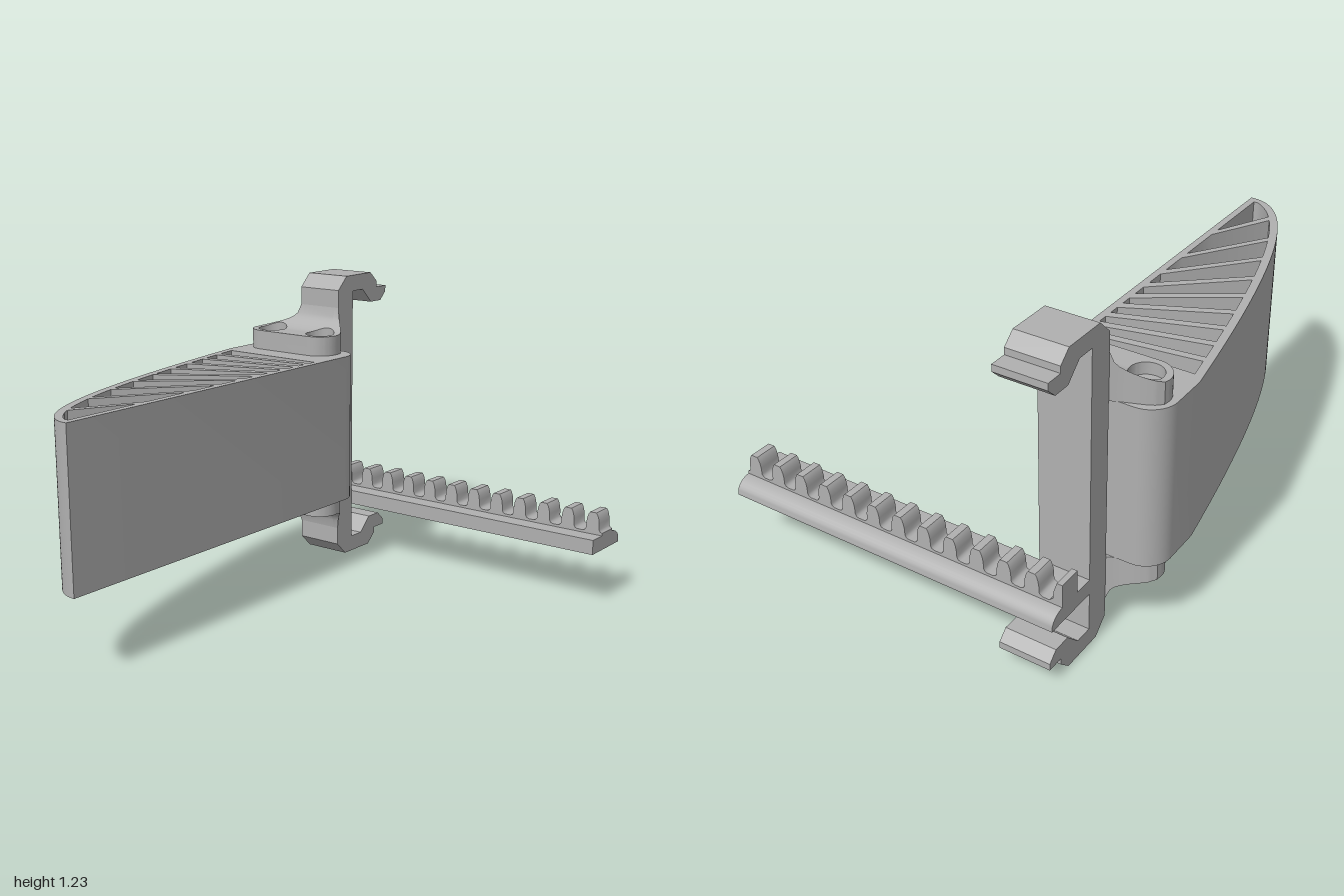
import * as THREE from 'three';
import { toCreasedNormals } from 'three/addons/utils/BufferGeometryUtils.js';

const grey = new THREE.MeshStandardMaterial({ color: 0xb0b0b0 });
grey.name = 'plain grey';

const MID = 0.617;                        // height of the mirror plane of vane and bracket
const HOLE_Z = -0.555, HOLES = [-0.675, -0.42];
const VANE_HALF = 0.308, PAD_FLOOR = 0.343, PAD_TOP = 0.388;

const V = (x, y) => new THREE.Vector2(x, y);
const plan = pts => pts.map(([x, z]) => V(x, -z));
const extrude = (shape, depth) =>
  new THREE.ExtrudeGeometry(shape, { depth, bevelEnabled: false, curveSegments: 24 });

// Plan shape (x, z) raised from y0 to y1
function raise(shape, y0, y1) {
  return extrude(shape, y1 - y0).rotateX(-Math.PI / 2).translate(0, y0, 0);
}
// Side profile of [z, y] points swept from x0 to x1
function sweepX(pts, x0, x1) {
  const shape = new THREE.Shape(pts.map(([z, y]) => V(-z, y)));
  return extrude(shape, x1 - x0).rotateY(Math.PI / 2).translate(x0, 0, 0);
}
function mesh(name, geo) {
  const m = new THREE.Mesh(toCreasedNormals(geo, 0.6), grey);
  m.name = name;
  return m;
}
// Copy of a geometry turned upside down, with corner order kept right
function flipY(geo) {
  const g = geo.index ? geo.toNonIndexed() : geo.clone();
  g.scale(1, -1, 1);
  const p = g.attributes.position, a = new THREE.Vector3(), b = new THREE.Vector3();
  for (let i = 0; i < p.count; i += 3) {
    a.fromBufferAttribute(p, i + 1);
    b.fromBufferAttribute(p, i + 2);
    p.setXYZ(i + 1, b.x, b.y, b.z);
    p.setXYZ(i + 2, a.x, a.y, a.z);
  }
  return g;
}
function addScrewHoles(shape) {
  for (const x of HOLES) shape.holes.push(new THREE.Path().absarc(x, -HOLE_Z, 0.025, 0, Math.PI * 2, true));
}

// Curved vane: outer edge and parallel inner edge as functions of z
const outerX = z => -0.275 - 0.51 * Math.pow(Math.max(0, 1 - z) / 1.4, 0.45);
function innerX(z) {
  const slope = (outerX(z + 0.001) - outerX(z - 0.001)) / 0.002;
  return Math.min(-0.303, outerX(z) + 0.032 * Math.hypot(1, slope));
}

function vaneGeometry() {
  const pts = [];
  const r = 0.1;
  for (let i = 0; i <= 10; i++) {         // right rear corner
    const a = (i / 10) * Math.PI / 2;
    pts.push([-0.275 - r + r * Math.cos(a), -0.545 - r * Math.sin(a)]);
  }
  for (let i = 0; i <= 10; i++) {         // left rear corner
    const a = (1 + i / 10) * Math.PI / 2;
    pts.push([-0.785 + r + r * Math.cos(a), -0.545 - r * Math.sin(a)]);
  }
  for (let i = 0; i <= 48; i++) {         // curved edge, denser towards the tip
    const t = 1 - i / 48, z = 1 - 1.4 * t * t;
    pts.push([outerX(z), z]);
  }
  const shape = new THREE.Shape(plan(pts));
  addScrewHoles(shape);

  // openings left between the slanted ribs: z at the straight wall and at the curved wall
  const straight = [-0.32, -0.25, -0.175, -0.095, -0.01, 0.09, 0.215, 0.375, 0.62];
  const curved = [-0.265, -0.155, -0.04, 0.08, 0.21, 0.35, 0.51, 0.675, 0.85];
  const t = 0.015;
  for (let i = 0; i <= 9; i++) {
    const s0 = i ? straight[i - 1] + t * (1 + i * 0.07) : -0.365;
    const c0 = i ? curved[i - 1] + t : -0.365;
    const s1 = i < 9 ? straight[i] - t * (1 + i * 0.07) : 0.965;
    const c1 = i < 9 ? curved[i] - t : 0.965;
    const cell = [[-0.303, s0], [-0.303, s1]];
    for (let k = 0; k <= 8; k++) {
      const z = c1 + (c0 - c1) * k / 8;
      const x = innerX(z);
      if (x < -0.304) cell.push([x, z]);
    }
    shape.holes.push(new THREE.Path(plan(cell)));
  }
  return raise(shape, -VANE_HALF, VANE_HALF);
}

// Screw pad outline: rounded front, narrowing into the bracket at the back
function table(rows, z) {
  for (let i = 1; i < rows.length; i++) {
    const [z0, x0] = rows[i - 1], [z1, x1] = rows[i];
    if (z >= z1) return x0 + (x1 - x0) * (z0 - z) / (z0 - z1);
  }
  return rows[rows.length - 1][1];
}
const frontArc = z => Math.sqrt(Math.max(0, 0.085 ** 2 - (z - HOLE_Z) ** 2));
const leftRows = [[-0.555, -0.76], [-0.58, -0.756], [-0.6, -0.735], [-0.615, -0.705], [-0.63, -0.665], [-0.645, -0.625], [-0.658, -0.6]];
const rightRows = [[-0.555, -0.335], [-0.585, -0.337], [-0.605, -0.347], [-0.625, -0.365], [-0.645, -0.385], [-0.658, -0.4]];
const padLeft = z => z > HOLE_Z ? HOLES[0] - frontArc(z) : table(leftRows, z);
const padRight = z => z > HOLE_Z ? HOLES[1] + frontArc(z) : table(rightRows, z);
function padHeight(z) {                   // fillet rising to the bracket
  const d = Math.min(0.098, Math.max(0, -0.56 - z));
  return PAD_TOP + 0.098 - Math.sqrt(0.098 ** 2 - d * d);
}
const boreR = z => Math.sqrt(Math.max(0, 0.06 ** 2 - (z - HOLE_Z) ** 2));

function padStations() {
  const zs = [];
  for (let i = 0; i <= 10; i++) zs.push(HOLE_Z + 0.085 * Math.cos(i * Math.PI / 20));
  for (let i = 0; i <= 16; i++) zs.push(HOLE_Z + 0.06 * Math.cos(i * Math.PI / 16));
  for (let i = 1; i <= 14; i++) zs.push(-0.558 - 0.1 * i / 14);
  zs.push(-0.67);
  return zs.sort((a, b) => b - a).filter((z, i, all) => !i || all[i - 1] - z > 1e-4);
}

// Loft of upright rectangles running backwards along z
function loft(zs, xa, xb) {
  const pos = [], idx = [];
  for (const z of zs) {
    const a = xa(z), b = Math.max(a, xb(z)), h = padHeight(z);
    pos.push(a, PAD_FLOOR, z, b, PAD_FLOOR, z, b, h, z, a, h, z);
  }
  const last = (zs.length - 1) * 4;
  for (let i = 0; i < last; i += 4)
    for (let k = 0; k < 4; k++) {
      const a = i + k, b = i + (k + 1) % 4;
      idx.push(a, a + 4, b + 4, a, b + 4, b);
    }
  idx.push(0, 1, 2, 0, 2, 3, last, last + 2, last + 1, last, last + 3, last + 2);
  const g = new THREE.BufferGeometry();
  g.setAttribute('position', new THREE.Float32BufferAttribute(pos, 3));
  g.setIndex(idx);
  return g;
}

function padGeometries() {
  const zs = padStations();
  const slab = new THREE.Shape(plan([...zs.map(z => [padLeft(z), z]), ...zs.slice().reverse().map(z => [padRight(z), z])]));
  addScrewHoles(slab);
  const l = z => Math.max(padLeft(z), HOLES[0]), r = z => Math.min(padRight(z), HOLES[1]);
  return [
    raise(slab, VANE_HALF, PAD_FLOOR),
    loft(zs, padLeft, z => l(z) - boreR(z)),
    loft(zs, z => l(z) + boreR(z), z => r(z) - boreR(z)),
    loft(zs, z => r(z) + boreR(z), padRight),
  ];
}

// Clip bracket: upper half of the side profile, mirrored for the lower half
function bracketGeometry() {
  const top = [[-0.658, 0.56], [-0.715, 0.615], [-0.888, 0.615], [-0.934, 0.573], [-0.934, 0.548],
    [-1, 0.548], [-1, 0.522], [-0.963, 0.487], [-0.893, 0.487], [-0.83, 0.548], [-0.76, 0.548]];
  const bottom = top.map(([z, y]) => [z, -y]).reverse();
  return sweepX([...top, ...bottom], -0.6, -0.4);
}

// Toothed rack
function rackBaseGeometry() {
  const pts = [[-0.76, 0.22], [-0.76, 0.28], [-0.92, 0.28]];
  for (let i = 1; i <= 8; i++) {
    const a = (i / 8) * Math.PI / 2;
    pts.push([-0.92 - 0.066 * Math.sin(a), 0.23 + 0.05 * Math.cos(a)]);
  }
  pts.push([-0.986, 0.22]);
  return sweepX(pts, -0.6, 0.78);
}
function rackTeethGeometry() {
  const half = [[0.043, 0.29], [0.034, 0.294], [0.029, 0.302], [0.028, 0.328], [0.025, 0.346], [0.02, 0.361], [0.014, 0.37]];
  const pts = [[-0.6, 0.27], [-0.6, 0.37], [-0.578, 0.37], [-0.566, 0.33], [-0.563, 0.302], [-0.55, 0.29]];
  for (let k = 11; k >= 0; k--) {
    const c = 0.738 - k * 0.1108;
    for (const [d, y] of half) pts.push([c - d, y]);
    for (const [d, y] of half.slice().reverse()) pts.push([Math.min(0.78, c + d), y]);
  }
  pts.push([0.78, 0.27]);
  return extrude(new THREE.Shape(pts.map(([x, y]) => V(x, y))), 0.09).translate(0, 0, -0.925);
}

export function createModel() {
  const model = new THREE.Group();
  model.name = 'ventVaneWithRack';

  const holder = new THREE.Group();
  holder.name = 'vaneHolder';
  holder.position.y = MID;
  holder.add(mesh('ribbedVane', vaneGeometry()), mesh('clipBracket', bracketGeometry()));
  const upper = new THREE.Group(), lower = new THREE.Group();
  upper.name = 'upperScrewPad';
  lower.name = 'lowerScrewPad';
  for (const g of padGeometries()) {
    upper.add(mesh('padPart', g));
    lower.add(mesh('padPart', flipY(g)));
  }
  holder.add(upper, lower);

  const rack = new THREE.Group();
  rack.name = 'gearRack';
  rack.add(mesh('rackBase', rackBaseGeometry()), mesh('rackTeeth', rackTeethGeometry()));

  model.add(holder, rack);
  return model;
}
